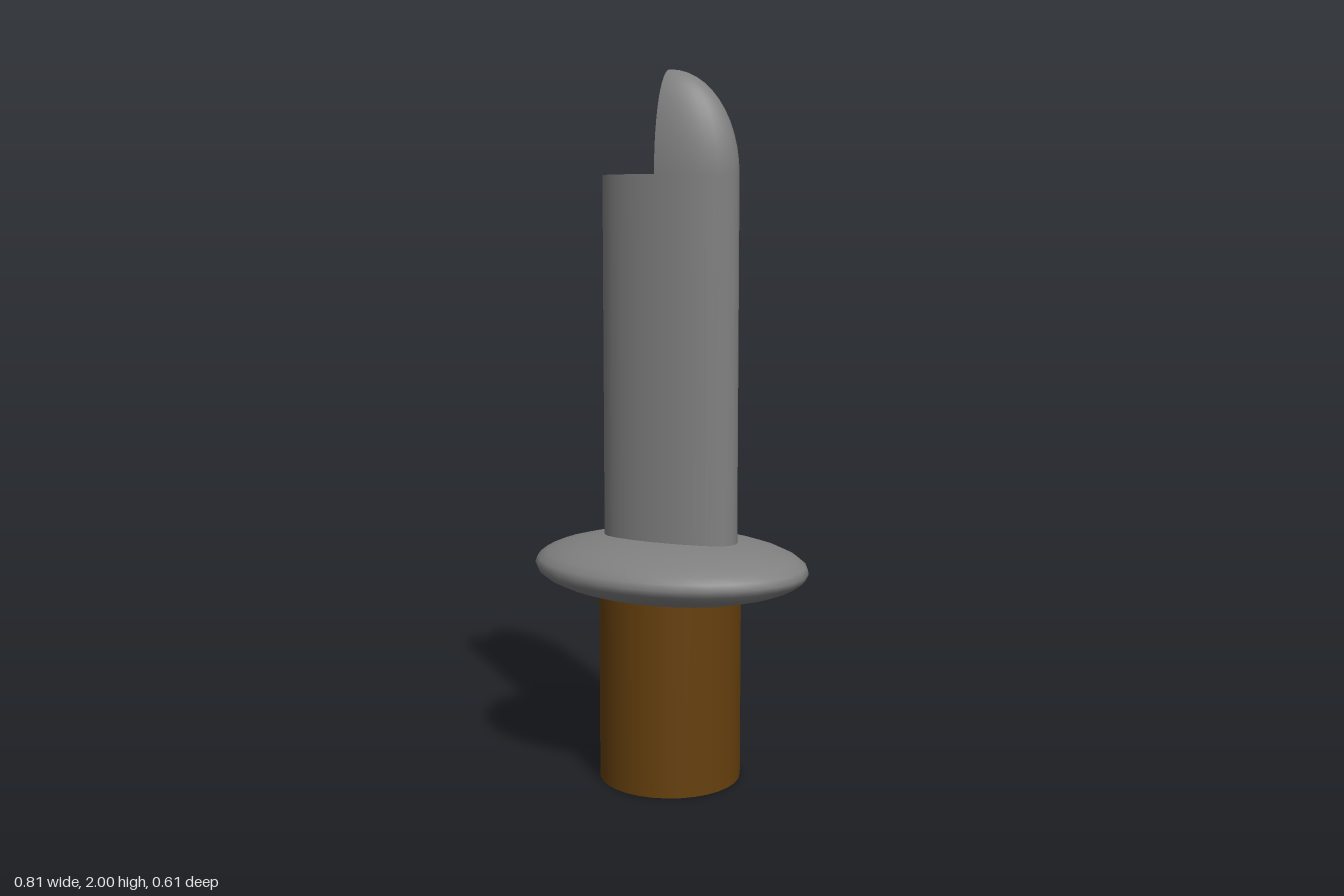
import * as THREE from 'three';

export function createModel() {
  const group = new THREE.Group();
  const steel = new THREE.MeshStandardMaterial({ color: 0x808080 });
  steel.name = 'steel grey';
  const wood = new THREE.MeshStandardMaterial({ color: 0x66400d });
  wood.name = 'wood brown';

  // Unit geometry, scaled to its radii and set at height y
  const add = (name, geometry, material, [sx, sy, sz], y) => {
    const mesh = new THREE.Mesh(geometry.scale(sx, sy, sz), material);
    mesh.name = name;
    mesh.position.y = y;
    group.add(mesh);
  };

  const R = 0.203;          // handle radius and blade half width
  const T = 0.102;          // blade half thickness
  const guardY = 0.617;
  const shoulderY = 1.717;  // top of the straight blade
  const tipH = 2 - shoulderY;
  const bladeH = shoulderY - guardY;

  // Round handle
  add('handle', new THREE.CylinderGeometry(1, 1, 1, 32), wood, [R, guardY, R], guardY / 2);

  // Flattened oval guard
  add('guard', new THREE.SphereGeometry(1, 32, 16), steel, [0.406, 0.092, 0.304], guardY);

  // Oval blade with a flat shoulder
  add('blade', new THREE.CylinderGeometry(1, 1, 1, 32), steel, [R, bladeH, T], guardY + bladeH / 2);

  // Quarter-ellipsoid tip on the left half, closed by a flat wall
  const tip = new THREE.SphereGeometry(1, 16, 12, Math.PI / 2, Math.PI, 0, Math.PI / 2);
  add('bladeTip', tip, steel, [R, tipH, T], shoulderY);
  const wall = new THREE.CircleGeometry(1, 24, 0, Math.PI).rotateY(-Math.PI / 2);
  add('bladeTipWall', wall, steel, [1, tipH, T], shoulderY);

  return group;
}
